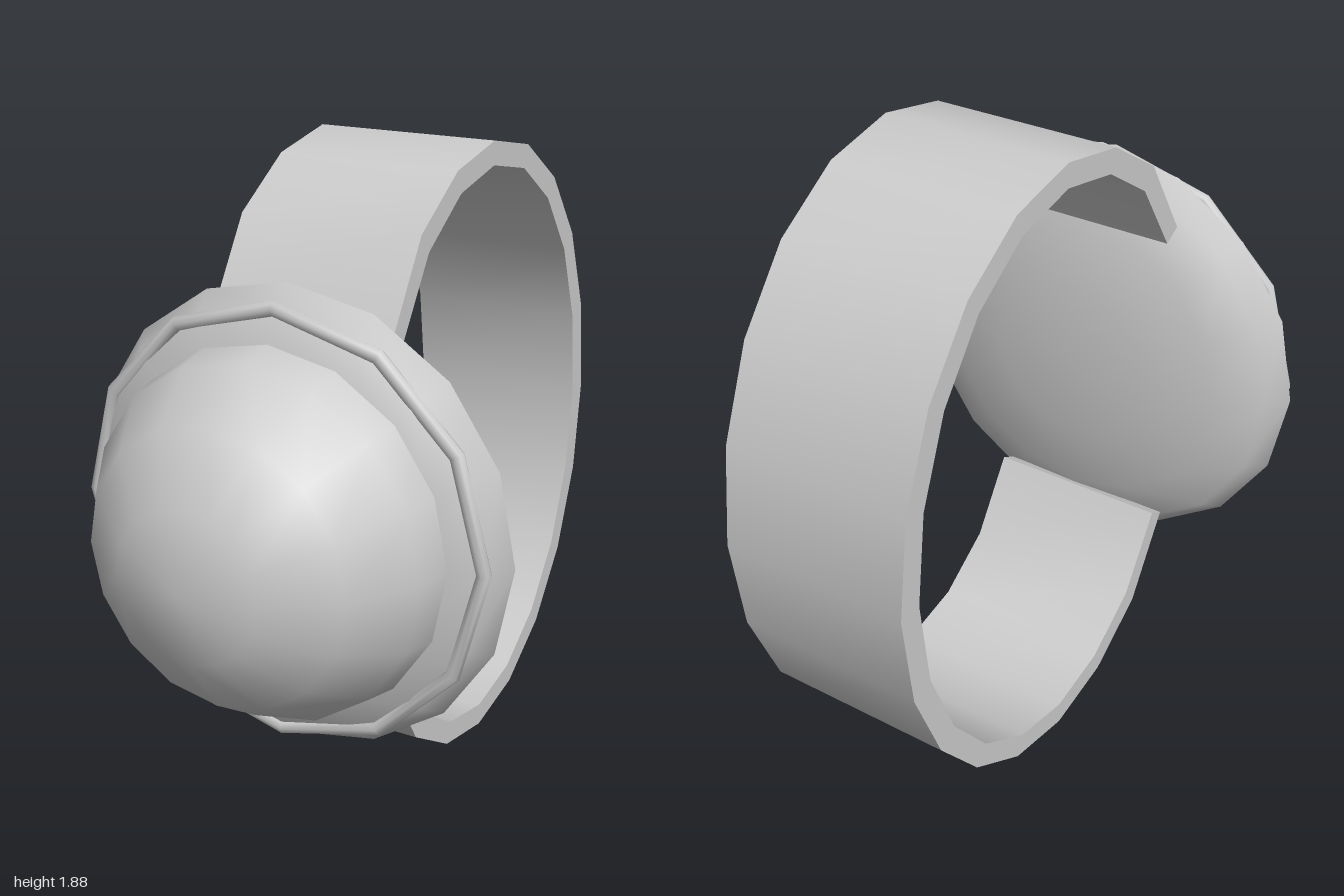
import * as THREE from 'three';
import { toCreasedNormals } from 'three/addons/utils/BufferGeometryUtils.js';

const material = new THREE.MeshStandardMaterial({ color: 0xcccccc });
const FACE_Y = 0.93;

function addPart(group, name, geometry, x, y, z) {
  const mesh = new THREE.Mesh(geometry, material);
  mesh.name = name;
  mesh.position.set(x, y, z);
  group.add(mesh);
  return mesh;
}

// Open elliptical loop, 20 steps to a full turn, with a gap at the front.
// Shape x is depth (-z), shape y is height.
function bandGeometry(width) {
  const centre = new THREE.Vector2(0.25, 0.94);
  const arc = (rz, ry, end) => {
    const points = [];
    for (let i = -2; i <= 12; i++) {
      const a = i * Math.PI / 10;
      points.push(new THREE.Vector2(centre.x + rz * Math.sin(a), centre.y + ry * Math.cos(a)));
    }
    const tip = (side) => new THREE.Vector2(-end[0], centre.y + side * end[1]);
    return [tip(1), ...points, tip(-1)];
  };
  const outer = arc(0.75, 0.94, [0.35, 0.51]);
  const inner = arc(0.675, 0.87, [0.295, 0.48]);
  const shape = new THREE.Shape([...outer, ...inner.reverse()]);
  const geometry = new THREE.ExtrudeGeometry(shape, { depth: width, bevelEnabled: false });
  geometry.rotateY(Math.PI / 2);
  return toCreasedNormals(geometry, 0.65);
}

export function createModel() {
  const model = new THREE.Group();
  model.name = 'ring';

  // Finger band, slightly off-centre under the setting
  addPart(model, 'band', bandGeometry(0.565), -0.31, 0, 0);

  // Flattened round base of the setting
  const base = new THREE.SphereGeometry(0.67, 16, 8).rotateX(Math.PI / 2).scale(1, 1, 0.27);
  addPart(model, 'settingBase', base, 0, FACE_Y, 0.45);

  // Thin twelve-sided trim ring around the stone
  const trim = new THREE.TorusGeometry(0.615, 0.022, 8, 12).scale(1, 1, 0.85);
  addPart(model, 'trimRing', trim, 0, FACE_Y, 0.52);

  // Domed stone
  const dome = new THREE.SphereGeometry(0.55, 16, 4, 0, Math.PI * 2, 0, Math.PI / 2).rotateX(Math.PI / 2);
  addPart(model, 'stone', dome, 0, FACE_Y, 0.45);

  return model;
}
